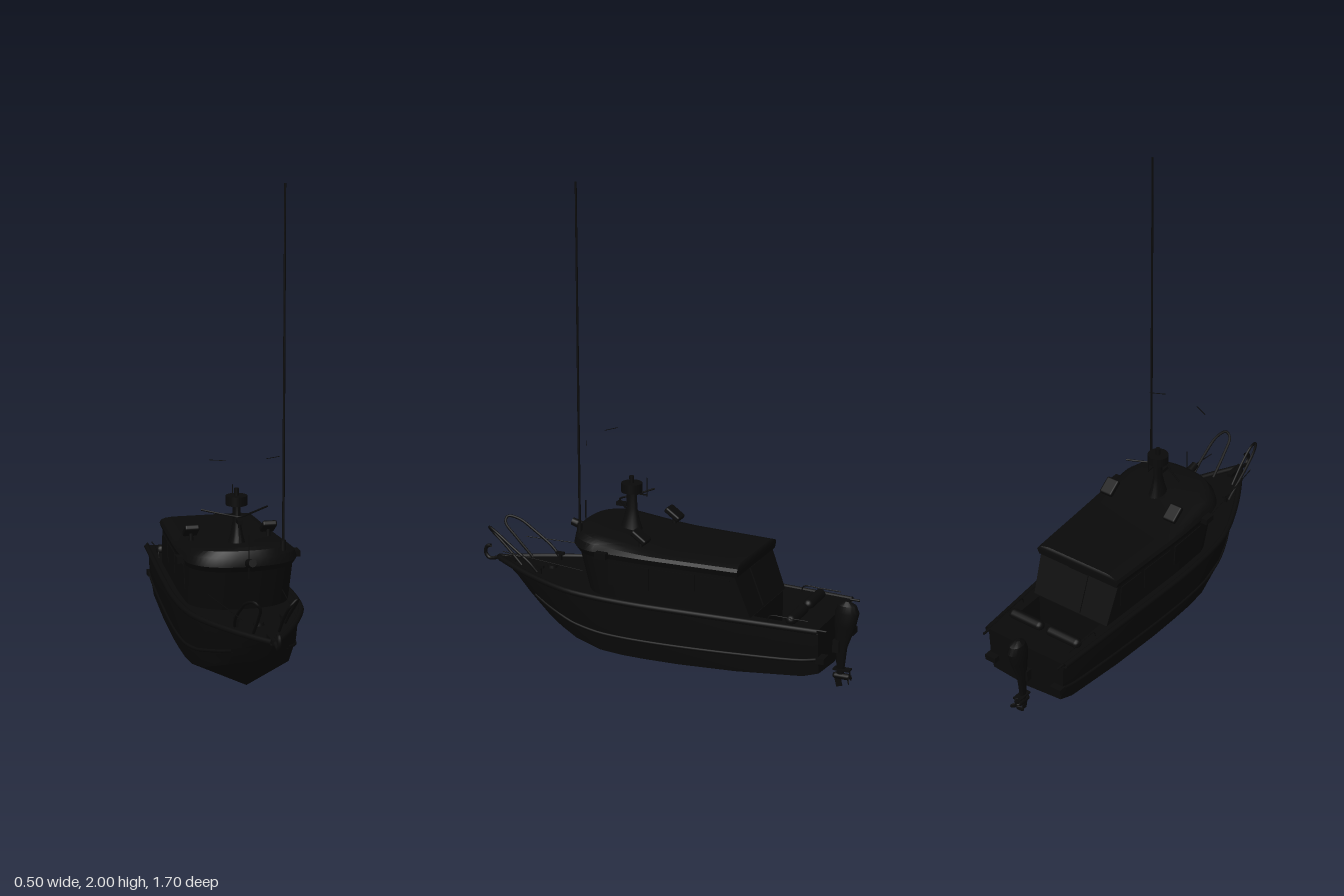
import * as THREE from 'three';
import { toCreasedNormals } from 'three/addons/utils/BufferGeometryUtils.js';
import { RoundedBoxGeometry } from 'three/addons/geometries/RoundedBoxGeometry.js';

const mat = new THREE.MeshStandardMaterial({ color: 0x0a0a0a, side: THREE.DoubleSide });
const V = (x, y, z) => new THREE.Vector3(x, y, z);

// Skin between mirrored cross-sections, with optional end caps
function loft(rings, { closed = false, capStart = false, capEnd = false } = {}) {
  const n = rings[0].length, idx = [];
  for (let j = 0; j + 1 < rings.length; j++)
    for (let i = 0; i < (closed ? n : n - 1); i++) {
      const k = (i + 1) % n, a = j * n + i, b = a + n, c = j * n + k, d = c + n;
      idx.push(a, b, c, b, d, c);
    }
  const cap = (o, flip) => {
    for (let i = 0; i + 1 < n / 2; i++) {
      const p = o + i, p2 = p + 1, q = o + n - 1 - i, q2 = q - 1;
      if (flip) idx.push(p, p2, q, q, p2, q2);
      else idx.push(p, q, p2, q, q2, p2);
    }
  };
  if (capStart) cap(0, true);
  if (capEnd) cap((rings.length - 1) * n, false);
  const g = new THREE.BufferGeometry().setFromPoints(rings.flat());
  g.setIndex(idx);
  return toCreasedNormals(g, 0.55);
}

export function createModel() {
  const boat = new THREE.Group();
  boat.name = 'boat';
  const add = (name, geo, x = 0, y = 0, z = 0, rx = 0, ry = 0, rz = 0) => {
    const m = new THREE.Mesh(geo, mat);
    m.name = name;
    m.position.set(x, y, z);
    m.rotation.set(rx, ry, rz);
    boat.add(m);
    return m;
  };
  const box = (name, w, h, d, ...at) => add(name, new THREE.BoxGeometry(w, h, d), ...at);
  const cyl = (name, r0, r1, h, ...at) => add(name, new THREE.CylinderGeometry(r0, r1, h, 16), ...at);
  const tube = (name, pts, r) => add(name,
    new THREE.TubeGeometry(new THREE.CatmullRomCurve3(pts.map(p => V(...p))), 40, r, 8));

  // Hull stations: z, keel y, chine x, chine y, sheer x
  const stations = [
    [-.745, .13, .17, .145, .188], [-.68, .093, .177, .125, .192], [-.4, .05, .19, .1, .21],
    [-.15, .022, .198, .088, .225], [0, .01, .2, .085, .232], [.1, .003, .2, .085, .232],
    [.2, .002, .196, .09, .228], [.32, .025, .172, .112, .214], [.4, .072, .147, .14, .19],
    [.47, .112, .115, .165, .162], [.54, .147, .077, .195, .13], [.6, .19, .048, .225, .1],
    [.68, .265, .022, .29, .055], [.765, .335, .001, .337, .003]];
  const sheerY = z => .33 + .01 * Math.max(0, z / .765) ** 2;
  add('hull', loft(stations.map(([z, k, cx, cy, sx]) => {
    const half = [[sx, sheerY(z)], [cx + (sx - cx) * .7, cy + (sheerY(z) - cy) * .4], [cx, cy]];
    return [...half.map(([x, y]) => V(x, y, z)), V(0, k, z),
      ...half.reverse().map(([x, y]) => V(-x, y, z))];
  }), { capStart: true }));

  // Deck with cockpit opening
  const deckShape = new THREE.Shape([
    ...stations.map(s => new THREE.Vector2(s[4], -s[0])),
    ...stations.slice().reverse().map(s => new THREE.Vector2(-s[4], -s[0]))]);
  const rect = (x, z0, z1) => [[-x, -z0], [x, -z0], [x, -z1], [-x, -z1]].map(p => new THREE.Vector2(...p));
  deckShape.holes.push(new THREE.Path(rect(.155, -.59, -.46)));
  add('deck', new THREE.ExtrudeGeometry(deckShape, { depth: .006, bevelEnabled: false }), 0, .326, 0, -Math.PI / 2);
  const well = new THREE.Shape(rect(.16, -.595, -.455));
  well.holes.push(new THREE.Path(rect(.155, -.59, -.46)));
  add('cockpitWalls', new THREE.ExtrudeGeometry(well, { depth: .13, bevelEnabled: false }), 0, .2, 0, -Math.PI / 2);
  box('cockpitFloor', .32, .006, .14, 0, .2, -.525);

  // Rub rails and hull strakes
  for (const s of [1, -1]) {
    tube('rubRail', stations.map(a => [s * (a[4] + .006), sheerY(a[0]) - .003, a[0]]), .012);
    tube('hullStrake', stations.slice(0, 11).map(([z, , cx, cy, sx]) =>
      [s * (cx + (sx - cx) * .6), cy + (sheerY(z) - cy) * .34, z]), .007);
    box('sternPad', .05, .025, .035, s * .165, .205, -.755);
    cyl('sternPost', .005, .005, .04, s * .185, .33, -.76, Math.PI / 2);
  }

  // Cabin outline: tapered sides and rounded front
  const outline = (yAt, zf, zb, w, bow = .15) => {
    const half = [];
    const put = (x, z) => half.push(V(x * (1 - .25 * Math.max(0, -z)), yAt(z), z));
    for (let i = 0; i < 10; i++) put(w, zb + (zf - bow - zb) * i / 10);
    for (let i = 0; i <= 12; i++) {
      const a = i / 12 * Math.PI / 2;
      put(w * Math.cos(a) ** .8, zf - bow + bow * Math.sin(a));
    }
    return [...half, ...half.slice(0, -1).reverse().map(p => V(-p.x, p.y, p.z))];
  };
  add('cabin', loft([outline(() => .325, .3, -.46, .207), outline(() => .505, .345, -.39, .215)], { closed: true }));
  const crown = (base, lift) => z => base + lift * Math.min(1, Math.max(0, (z + .05) / .38)) ** 1.2;
  add('roof', loft([
    outline(() => .497, .35, -.405, .217), outline(() => .52, .365, -.407, .226),
    outline(crown(.533, .022), .36, -.407, .217), outline(crown(.54, .04), .345, -.404, .197),
    outline(crown(.544, .046), .325, -.4, .165)], { closed: true, capStart: true, capEnd: true }));

  // Side windows, rear door and nav lights
  for (const s of [1, -1]) {
    for (const [z, d] of [[.06, .18], [-.14, .17], [-.31, .13]])
      box('sideWindow', .006, .095, d, s * .212 * (1 - .25 * Math.max(0, -z)), .435, z, 0, s * (z < 0 ? .05 : 0), -s * .04);
    box('navLight', .035, .025, .05, s * .233, .515, .17);
    add('roofLamp', new RoundedBoxGeometry(.06, .025, .075, 2, .008), s * .16, .592, .03, -.6);
    cyl('lampFoot', .008, .01, .04, s * .16, .565, .03);
  }
  box('rearDoor', .1, .16, .006, 0, .415, -.428, .38);

  // Mast, radar and spreader
  add('mast', loft([[.555, .15, .05, .036], [.6, .15, .035, .024], [.65, .148, .024, .016], [.73, .148, .022, .016]]
    .map(([y, z, hz, hx]) => Array.from({ length: 17 }, (_, i) => {
      const a = i / 16 * Math.PI * 2;
      return V(hx * Math.sin(a), y, z - hz * Math.cos(a));
    })), { capEnd: true }));
  add('radar', new THREE.CylinderGeometry(.043, .043, .038, 24), 0, .737, .148);
  cyl('mastLight', .01, .01, .03, 0, .77, .148);
  cyl('mastWhip', .002, .002, .08, 0, .745, .08);
  box('whipBracket', .005, .005, .06, 0, .712, .11);
  box('mastLamp', .02, .016, .045, 0, .66, .192);
  tube('spreader', [[-.135, .695, .11], [-.06, .685, .16], [0, .681, .2], [.06, .685, .16], [.135, .695, .11]], .004);
  cyl('searchlight', .016, .018, .06, 0, .542, .392, 1.3);
  cyl('bowWhip', .0025, .0025, .18, 0, .56, .36);

  // Tall antenna and wind vanes
  cyl('antennaBase', .01, .012, .04, .15, .585, .31);
  cyl('antenna', .004, .005, 1.41, .15, 1.295, .31);
  for (const s of [1, -1]) box('windVane', .067, .002, .003, s * .11, .935, .295, 0, s * .46);

  // Bow rails, lifelines and cleats
  for (const s of [1, -1]) {
    tube('bowRail', [[s * .1, .34, .54], [s * .105, .375, .57], [s * .105, .44, .66], [s * .098, .485, .73],
      [s * .078, .497, .775], [s * .058, .475, .775], [s * .05, .42, .72], [s * .05, .34, .64]], .006);
    tube('lifeline', [[s * .103, .408, .7], [s * .125, .405, .52], [s * .15, .4, .3]], .002);
    box('cleatPost', .012, .03, .012, s * .09, .345, .53);
    box('cleatBar', .014, .012, .035, s * .09, .363, .53);
  }
  cyl('foredeckHatch', .02, .022, .012, 0, .338, .52);

  // Anchor on the bow roller
  tube('anchor', [[0, .34, .7], [0, .343, .76], [0, .33, .8], [0, .328, .825], [0, .35, .842], [0, .377, .835], [0, .383, .815]], .008);
  box('bowRoller', .025, .018, .09, 0, .34, .735);

  // Aft cushions and handrails
  for (const s of [1, -1]) {
    add('cushion', new THREE.CapsuleGeometry(.022, .125, 6, 14), s * .093, .343, -.62, 0, 0, Math.PI / 2);
    tube('aftRail', [[s * .182, .33, -.53], [s * .182, .355, -.54], [s * .18, .358, -.62], [s * .18, .358, -.7]], .0025);
  }

  // Outboard motor: y, centre z, half length, half width
  add('outboard', loft([[.075, -.772, .014, .009], [.2, -.775, .024, .015], [.29, -.788, .044, .027],
    [.35, -.795, .05, .033], [.38, -.795, .038, .026], [.396, -.792, .01, .008]]
    .map(([y, z, hz, hx]) => Array.from({ length: 25 }, (_, i) => {
      const a = i / 24 * Math.PI * 2;
      return V(hx * Math.sin(a), y, z - hz * Math.cos(a));
    })), { capStart: true, capEnd: true }));
  box('motorBracket', .05, .05, .04, 0, .205, -.752);
  box('cavitationPlate', .035, .006, .07, 0, .105, -.78);
  add('gearcase', new THREE.CapsuleGeometry(.013, .05, 6, 12), 0, .075, -.778, Math.PI / 2);
  box('skeg', .006, .04, .025, 0, .05, -.765, .25);
  for (let i = 0; i < 3; i++) {
    const a = i * Math.PI * 2 / 3;
    const blade = add('propellerBlade', new THREE.SphereGeometry(1, 12, 8),
      .018 * Math.sin(a), .075 + .018 * Math.cos(a), -.812, 0, .5, -a);
    blade.scale.set(.011, .018, .003);
  }
  return boat;
}
